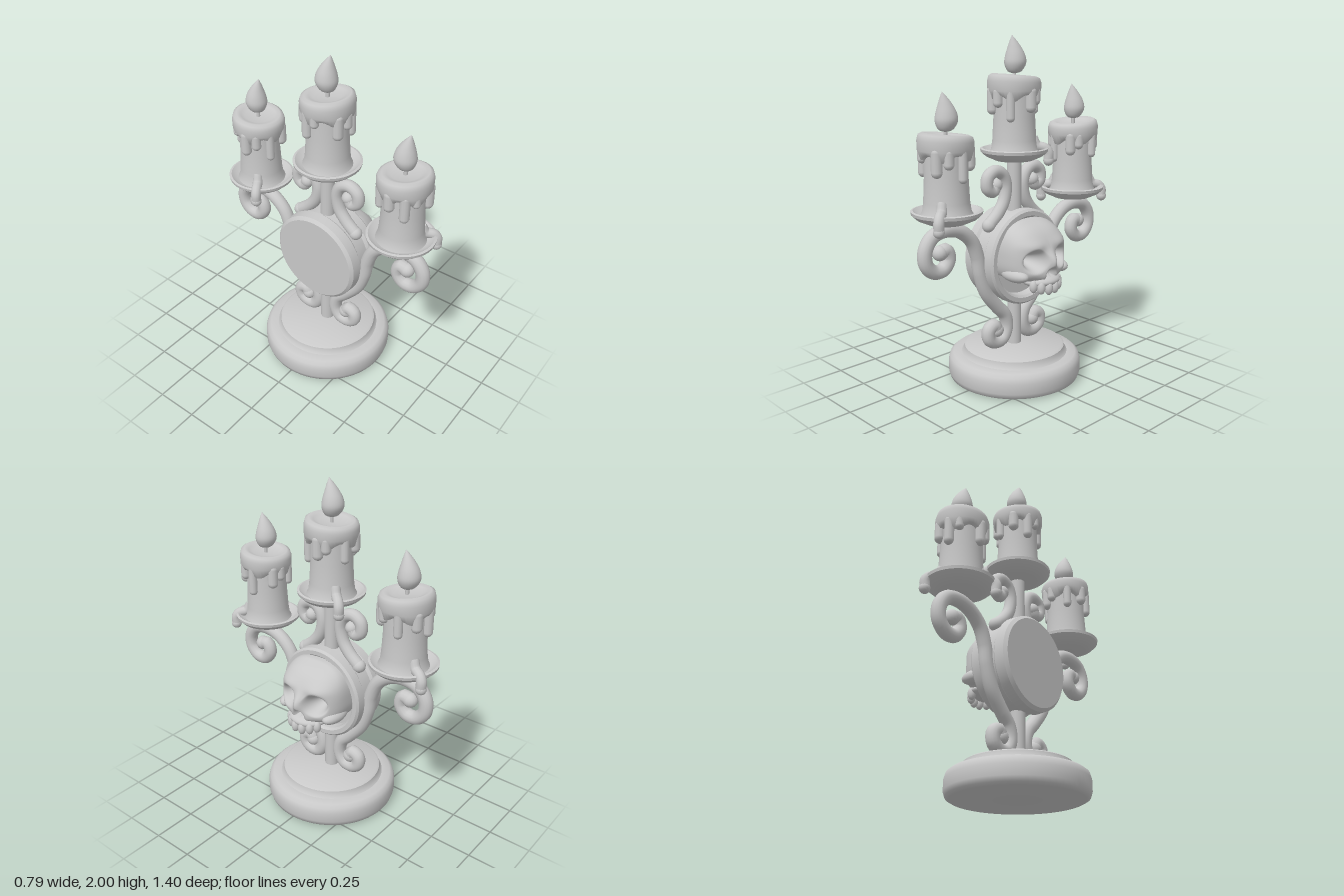
import * as THREE from 'three';
import { mergeVertices, toCreasedNormals } from 'three/addons/utils/BufferGeometryUtils.js';

const stone = new THREE.MeshStandardMaterial({ color: 0xc8c8c8 });
stone.name = 'light grey stone';

const add = (parent, name, geometry, x = 0, y = 0, z = 0) => {
  const m = new THREE.Mesh(geometry, stone);
  m.name = name;
  m.position.set(x, y, z);
  parent.add(m);
  return m;
};
const lathe = (pts, seg = 40, crease = 0.6) =>
  toCreasedNormals(new THREE.LatheGeometry(pts.map(p => new THREE.Vector2(...p)), seg), crease);
const warp = (geometry, rule) => {
  const p = geometry.attributes.position, v = new THREE.Vector3();
  for (let i = 0; i < p.count; i++) {
    rule(v.fromBufferAttribute(p, i));
    p.setXYZ(i, v.x, v.y, v.z);
  }
  return geometry;
};
const smooth = geometry => {
  geometry.deleteAttribute('uv');
  geometry.deleteAttribute('normal');
  const g = mergeVertices(geometry, 1e-5);
  g.computeVertexNormals();
  return g;
};

// Scroll bar along a planar path, with a rounded bead on each end
function scroll(parent, name, pts, side, r) {
  const curve = new THREE.CatmullRomCurve3(pts.map(([x, y]) => new THREE.Vector3(x * side, y, 0)));
  add(parent, name, new THREE.TubeGeometry(curve, 130, r, 14));
  for (const t of [0, 1]) {
    const p = curve.getPoint(t);
    add(parent, name + 'Bead', new THREE.SphereGeometry(r * 1.08, 16, 12), p.x, p.y, 0);
  }
}

// One candle on its dish; y is measured from the underside of the dish
function candle(parent, name, x, y, side, spills) {
  const g = new THREE.Group();
  g.name = name;
  g.position.set(x, y, 0);
  parent.add(g);
  add(g, 'dish', lathe([[0, 0], [0.11, 0.005], [0.165, 0.03], [0.192, 0.055], [0.195, 0.072],
    [0.182, 0.076], [0.15, 0.052], [0, 0.045]]));
  add(g, 'candleBody', lathe([[0.145, 0.045], [0.132, 0.07], [0.125, 0.12], [0.118, 0.25], [0.118, 0.4]]));

  // Melted cap with a wavy lower edge and a shallow hollow top
  const cap = new THREE.LatheGeometry([[0.11, 0.355], [0.138, 0.362], [0.151, 0.4], [0.152, 0.445],
    [0.144, 0.472], [0.125, 0.482], [0.1, 0.474], [0.075, 0.464], [0, 0.46]].map(p => new THREE.Vector2(...p)), 48);
  warp(cap, v => {
    const a = Math.atan2(v.z, v.x);
    if (v.y < 0.4) v.y += 0.018 * Math.sin(5 * a + side);
    else v.y += 0.1 * side * v.x * (v.y - 0.4) / 0.08;
  });
  add(g, 'waxCap', smooth(cap));

  // Drips running down the side
  const lengths = [0.11, 0.05, 0.085, 0.14, 0.06, 0.1, 0.04, 0.12, 0.07];
  lengths.forEach((len, i) => {
    const a = (i + 0.25 * Math.sin(i * 2.3)) / lengths.length * Math.PI * 2 + x * 2 + 0.3;
    const r = 0.025 + 0.003 * (i % 3);
    add(g, 'waxDrip', new THREE.CapsuleGeometry(r, len, 6, 12),
      Math.cos(a) * 0.126, 0.395 - len / 2, Math.sin(a) * 0.126);
  });

  // Wax spilling across the dish and over its rim
  for (const a of spills) {
    const c = Math.cos(a), s = Math.sin(a);
    const path = new THREE.CatmullRomCurve3([[0.105, 0.13], [0.13, 0.085], [0.175, 0.07], [0.196, 0.045], [0.196, 0]]
      .map(([r, h]) => new THREE.Vector3(c * r, h, s * r)));
    add(g, 'waxSpill', new THREE.TubeGeometry(path, 20, 0.029, 12));
    add(g, 'waxSpillTip', new THREE.SphereGeometry(0.031, 14, 10), c * 0.197, -0.002, s * 0.197);
  }

  add(g, 'wick', new THREE.CylinderGeometry(0.011, 0.011, 0.07, 10), 0, 0.48, 0);
  const profile = new THREE.SplineCurve([[0, 0.49], [0.038, 0.502], [0.061, 0.545], [0.056, 0.59], [0.038, 0.635],
    [0.018, 0.672], [0, 0.7]].map(p => new THREE.Vector2(...p))).getPoints(24);
  profile.forEach(p => { p.x = Math.max(p.x, 0); });
  const flame = warp(new THREE.LatheGeometry(profile, 24), v => {
    const t = (v.y - 0.49) / 0.21;
    v.x += 0.012 * Math.sin(t * Math.PI) - 0.018 * t * t;
  });
  add(g, 'flame', smooth(flame));
}

function skull(parent) {
  const g = new THREE.Group();
  g.name = 'skull';
  parent.add(g);
  const bump = (x, y, cx, cy, rx, ry) => Math.exp(-(((x - cx) / rx) ** 2) - ((y - cy) / ry) ** 2);
  const dent = d => 1 - THREE.MathUtils.smoothstep(d, 0.15, 1.15);

  // Rounded block shaped into brow, cheeks, muzzle, sockets and nose opening
  const head = new THREE.SphereGeometry(1, 96, 80).rotateX(Math.PI / 2);
  warp(head, v => {
    const k = (Math.abs(v.x) ** 2.8 + Math.abs(v.y) ** 2.8 + Math.abs(v.z) ** 2.8) ** (-1 / 2.8);
    v.multiplyScalar(k);
    const front = THREE.MathUtils.smoothstep(v.z, 0.1, 0.6);
    const slope = v.y > 0 ? 0.04 * v.y * v.y * front : 0;
    v.set(v.x * 0.21, 0.78 + v.y * (v.y > 0 ? 0.2 : 0.165), 0.09 + v.z * 0.2 - slope);
    const ax = Math.abs(v.x);
    v.z += front * (0.04 * bump(v.x, v.y, 0, 0.66, 0.1, 0.06) + 0.045 * bump(v.x, v.y, 0, 0.765, 0.035, 0.06)
      + 0.012 * bump(ax, v.y, 0.1, 0.86, 0.08, 0.03) + 0.012 * bump(ax, v.y, 0.15, 0.69, 0.05, 0.035));
    v.z -= front * 0.12 * dent(Math.hypot((ax - 0.098) / 0.066, (v.y - 0.775) / 0.064));
    v.z -= front * 0.06 * dent(Math.hypot((ax - 0.014) / 0.027, (v.y - 0.7 + ax * 0.5) / 0.04));
    if (v.y < 0.67) v.x *= 1 - 0.3 * Math.min(1, (0.67 - v.y) / 0.05);
    v.z = Math.max(v.z, 0);
  });
  add(g, 'skullHead', smooth(head));

  for (const s of [-1, 1]) {
    const cheek = add(g, 'cheekbone', new THREE.SphereGeometry(1, 24, 16), s * 0.16, 0.69, 0.17);
    cheek.scale.set(0.052, 0.042, 0.1);
  }
  const jaw = add(g, 'upperJaw', new THREE.SphereGeometry(1, 28, 18), 0, 0.645, 0.215);
  jaw.scale.set(0.12, 0.04, 0.105);
  // Row of upper teeth along an arc
  for (let i = 0; i < 6; i++) {
    const a = (i - 2.5) * 0.44;
    const tooth = add(g, 'tooth', new THREE.SphereGeometry(1, 14, 10),
      Math.sin(a) * 0.11, 0.607 + 0.008 * Math.abs(i - 2.5), 0.215 + Math.cos(a) * 0.09);
    tooth.scale.set(0.024, 0.038, 0.024);
    tooth.rotation.y = a;
  }
}

export function createModel() {
  const root = new THREE.Group();
  root.name = 'candelabra';
  // Built with the skull toward +z, then turned to face +x
  const body = new THREE.Group();
  body.name = 'candelabraBody';
  body.rotation.y = Math.PI / 2;
  root.add(body);

  add(body, 'base', lathe([[0, 0], [0.365, 0], [0.386, 0.012], [0.395, 0.04], [0.395, 0.1], [0.386, 0.132],
    [0.365, 0.149], [0.315, 0.152], [0.303, 0.165], [0.298, 0.192], [0.285, 0.2], [0, 0.2]], 64, 0.75));
  add(body, 'lowerPole', new THREE.CylinderGeometry(0.042, 0.042, 0.35, 20), 0, 0.355, 0);
  add(body, 'upperPole', new THREE.CylinderGeometry(0.042, 0.042, 0.32, 20), 0, 1.15, 0);

  // Round mount with a shallow side groove and a raised front ring
  add(body, 'medallion', lathe([[0, -0.135], [0.258, -0.135], [0.276, -0.118], [0.28, -0.06], [0.266, -0.045],
    [0.266, 0.035], [0.28, 0.05], [0.28, 0.1], [0.268, 0.113], [0.242, 0.113], [0.23, 0.1], [0.226, 0.05],
    [0, 0.05]], 56).rotateX(Math.PI / 2), 0, 0.75, 0);
  skull(body);

  const arm = [[0.555, 0.86], [0.512, 0.868], [0.495, 0.815], [0.535, 0.763], [0.6, 0.763], [0.65, 0.815],
    [0.652, 0.89], [0.605, 0.955], [0.52, 0.978], [0.42, 0.958], [0.335, 0.89], [0.29, 0.79], [0.27, 0.68],
    [0.225, 0.56], [0.14, 0.455], [0.08, 0.39], [0.065, 0.31], [0.1, 0.248], [0.16, 0.24], [0.205, 0.272],
    [0.206, 0.325], [0.165, 0.345], [0.145, 0.312]];
  const curl = [[0.2, 0.95], [0.13, 1.01], [0.082, 1.08], [0.068, 1.17], [0.098, 1.235], [0.155, 1.255],
    [0.205, 1.225], [0.208, 1.165], [0.168, 1.142], [0.145, 1.175]];
  for (const s of [-1, 1]) {
    scroll(body, 'scrollArm', arm, s, 0.04);
    scroll(body, 'upperScroll', curl, s, 0.036);
  }

  candle(body, 'middleCandle', 0, 1.3, -1, [0.7]);
  candle(body, 'leftCandle', -0.5, 1.015, -1, [2.47]);
  candle(body, 'rightCandle', 0.5, 1.015, 1, [0.49, 4.18]);
  return root;
}
